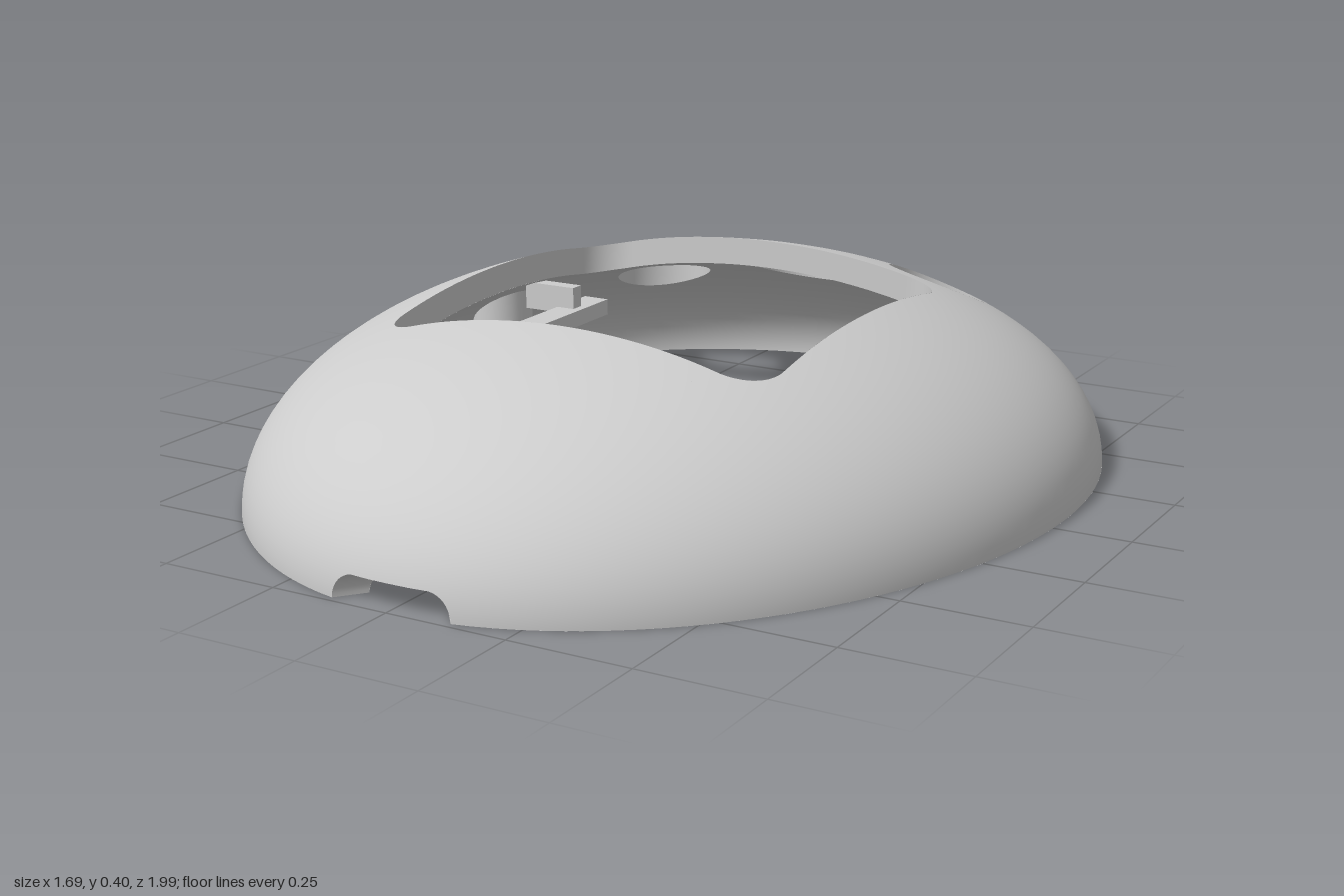
import * as THREE from 'three';
import { toCreasedNormals } from 'three/addons/utils/BufferGeometryUtils.js';

const TAPER = 0.07;      // makes the egg narrower towards the front
const WALL = 0.06;
const OUTER = { a: 0.842, b: 1, h: 0.432 };
const INNER = { a: OUTER.a - WALL, b: OUTER.b - WALL, h: OUTER.h - WALL };

const halfWidth = (s, z) => s.a * (1 - TAPER * z / s.b);
const heightAt = (s, x, z) =>
  s.h * Math.sqrt(Math.max(0, 1 - (x / halfWidth(s, z)) ** 2 - (z / s.b) ** 2));
const depthAt = (s, x, y) => {   // z of the front wall at a given x and y
  let z = s.b;
  for (let i = 0; i < 8; i++) {
    z = s.b * Math.sqrt(1 - (x / halfWidth(s, z)) ** 2 - (y / s.h) ** 2);
  }
  return z;
};
const normalAt = (s, p) => {
  const w = halfWidth(s, p.z);
  return new THREE.Vector3(
    p.x / w ** 2,
    p.y / s.h ** 2,
    p.z / s.b ** 2 + p.x ** 2 / w ** 3 * s.a * TAPER / s.b
  ).normalize();
};

// Planes around a convex outline; `axis` is the second coordinate of its points
function prism(points, axis) {
  const c = points.reduce((sum, p) => sum.add(p), new THREE.Vector2()).divideScalar(points.length);
  const planes = [];
  points.forEach((p, i) => {
    const q = points[(i + 1) % points.length];
    if (p.distanceTo(q) < 1e-5) return;
    const n = new THREE.Vector2(q.y - p.y, p.x - q.x).normalize();
    if (n.dot(c) > n.dot(p)) n.negate();
    const normal = new THREE.Vector3(n.x, 0, 0);
    normal[axis] = n.y;
    planes.push(new THREE.Plane(normal, -n.dot(p)));
  });
  return planes;
}

// Part of a convex polygon on one side of a plane
function clip(poly, plane, side) {
  const out = [];
  poly.forEach((p, i) => {
    const q = poly[(i + 1) % poly.length];
    const dp = plane.distanceToPoint(p) * side, dq = plane.distanceToPoint(q) * side;
    if (dp >= 0) out.push(p);
    if (dp * dq < 0) out.push(p.clone().lerp(q, dp / (dp - dq)));
  });
  return out.length > 2 ? out : [];
}

function subtract(poly, planes) {
  const kept = [];
  let rest = poly;
  for (const plane of planes) {
    const outside = clip(rest, plane, 1);
    if (outside.length) kept.push(outside);
    rest = clip(rest, plane, -1);
    if (!rest.length) return [poly];
  }
  return kept;
}

// Half-egg surface with openings cut out
function dome(s, cuts, facing) {
  const rings = 28, segs = 112, pos = [], nor = [];
  const point = (i, j) => {
    const f = (i / rings) * Math.PI / 2, t = (j / segs) * Math.PI * 2;
    const z = s.b * Math.sin(f) * Math.sin(t);
    return new THREE.Vector3(halfWidth(s, z) * Math.sin(f) * Math.cos(t), s.h * Math.cos(f), z);
  };
  const emit = (a, b, c) => {
    const face = b.clone().sub(a).cross(c.clone().sub(a));
    const order = face.dot(normalAt(s, a)) * facing < 0 ? [a, c, b] : [a, b, c];
    for (const p of order) {
      pos.push(p.x, p.y, p.z);
      nor.push(...normalAt(s, p).multiplyScalar(facing).toArray());
    }
  };
  for (let i = 0; i < rings; i++) for (let j = 0; j < segs; j++) {
    const a = point(i, j), b = point(i + 1, j), c = point(i + 1, j + 1), d = point(i, j + 1);
    let pieces = i ? [[a, b, c], [a, c, d]] : [[a, b, c]];
    for (const planes of cuts) pieces = pieces.flatMap(p => subtract(p, planes));
    for (const p of pieces) for (let k = 1; k < p.length - 1; k++) emit(p[0], p[k], p[k + 1]);
  }
  const g = new THREE.BufferGeometry();
  g.setAttribute('position', new THREE.Float32BufferAttribute(pos, 3));
  g.setAttribute('normal', new THREE.Float32BufferAttribute(nor, 3));
  return g;
}

// Ribbon joining two rows of points
function ribbon(rowA, rowB) {
  const pos = [], index = [];
  rowA.forEach((p, i) => {
    pos.push(...p.toArray(), ...rowB[i].toArray());
    const k = i * 2;
    if (i) index.push(k - 2, k, k - 1, k - 1, k, k + 1);
  });
  const g = new THREE.BufferGeometry();
  g.setAttribute('position', new THREE.Float32BufferAttribute(pos, 3));
  g.setIndex(index);
  g.computeVertexNormals();
  return g;
}

function roundedRect(x0, x1, z0, z1, r) {
  const s = new THREE.Shape();
  s.absarc(x1 - r, z1 - r, r, 0, Math.PI / 2);
  s.absarc(x0 + r, z1 - r, r, Math.PI / 2, Math.PI);
  s.absarc(x0 + r, z0 + r, r, Math.PI, Math.PI * 1.5);
  s.absarc(x1 - r, z0 + r, r, Math.PI * 1.5, Math.PI * 2);
  s.closePath();
  return s;
}

// Flat-topped arch of the cord notch
function arch(w, h) {
  const pts = [];
  for (let i = 0; i <= 20; i++) {
    const t = Math.PI * i / 20;
    pts.push(new THREE.Vector2(Math.sign(10 - i) * (w - h) + h * Math.cos(t), h * Math.sin(t)));
  }
  return pts;
}

export function createModel() {
  const group = new THREE.Group();
  const plastic = new THREE.MeshStandardMaterial({ color: 0xcccccc, side: THREE.DoubleSide });
  plastic.name = 'light grey plastic';
  const add = (name, geometry, x = 0, y = 0, z = 0) => {
    const m = new THREE.Mesh(geometry, plastic);
    m.name = name;
    m.position.set(x, y, z);
    group.add(m);
  };

  // Openings: screen window and three button holes
  const openings = [['windowEdge', roundedRect(-0.432, 0.432, -0.4, 0.432, 0.09), 8, 240]];
  for (const [x, z] of [[-0.345, -0.557], [0, -0.59], [0.345, -0.557]]) {
    const circle = new THREE.Shape();
    circle.absarc(x, z, 0.107, 0, Math.PI * 2);
    openings.push(['buttonHoleEdge', circle, 40, 40]);
  }
  const cuts = openings.map(([, shape, n]) => prism(shape.getPoints(n), 'y' && 'z'));
  const frontOnly = new THREE.Plane(new THREE.Vector3(0, 0, -1), 0.5);
  const outerArch = arch(0.128, 0.052), innerArch = arch(0.085, 0.04);

  // Shell skins
  add('outerShell', dome(OUTER, [...cuts, [frontOnly, ...prism(outerArch, 'y')]], 1));
  add('innerShell', dome(INNER, [...cuts, [frontOnly, ...prism(innerArch, 'y')]], -1));

  // Walls of the openings
  for (const [name, shape, , n] of openings) {
    const pts = shape.getSpacedPoints(n);
    const row = s => pts.map(p => new THREE.Vector3(p.x, heightAt(s, p.x, p.y), p.y));
    add(name, ribbon(row(OUTER), row(INNER)));
  }

  // Tapering cord notch at the front
  const archRow = (s, pts) => pts.map(p => new THREE.Vector3(p.x, p.y, depthAt(s, p.x, p.y)));
  add('cordNotch', ribbon(archRow(OUTER, outerArch), archRow(INNER, innerArch)));

  // Bottom rim, open at the notch
  const rimRow = (s, x) => {
    const start = Math.acos(x / halfWidth(s, s.b)), sweep = 2 * Math.PI - (Math.PI - 2 * start);
    return Array.from({ length: 121 }, (_, i) => {
      const t = start - sweep * i / 120, z = s.b * Math.sin(t);
      return new THREE.Vector3(halfWidth(s, z) * Math.cos(t), 0, z);
    });
  };
  add('bottomRim', ribbon(rimRow(OUTER, 0.128), rimRow(INNER, 0.085)));

  // Screw posts, trimmed to the inside of the shell
  const profile = [[0, 0.1], [0.025, 0.1], [0.025, 0], [0.068, 0], [0.068, 1]]
    .map(p => new THREE.Vector2(...p));
  for (const side of [-1, 1]) {
    for (const z of [-0.3, 0.33]) {
      const g = new THREE.LatheGeometry(profile, 28), p = g.attributes.position;
      for (let i = 0; i < p.count; i++) {
        if (p.getY(i) > 0.5) p.setY(i, heightAt(INNER, side * 0.625 + p.getX(i), z + p.getZ(i)) + 0.01);
      }
      add('screwPost', toCreasedNormals(g, 0.6), side * 0.625, 0, z);
    }

    // Screen rail with two brackets reaching the shell
    add('screenRail', new THREE.BoxGeometry(0.06, 0.035, 0.71), side * 0.397, 0.215, 0.015);
    for (const z of [-0.24, 0.24]) {
      add('railBracket', new THREE.BoxGeometry(0.125, 0.06, 0.032), side * 0.4475, 0.25, z);
    }
  }
  return group;
}
